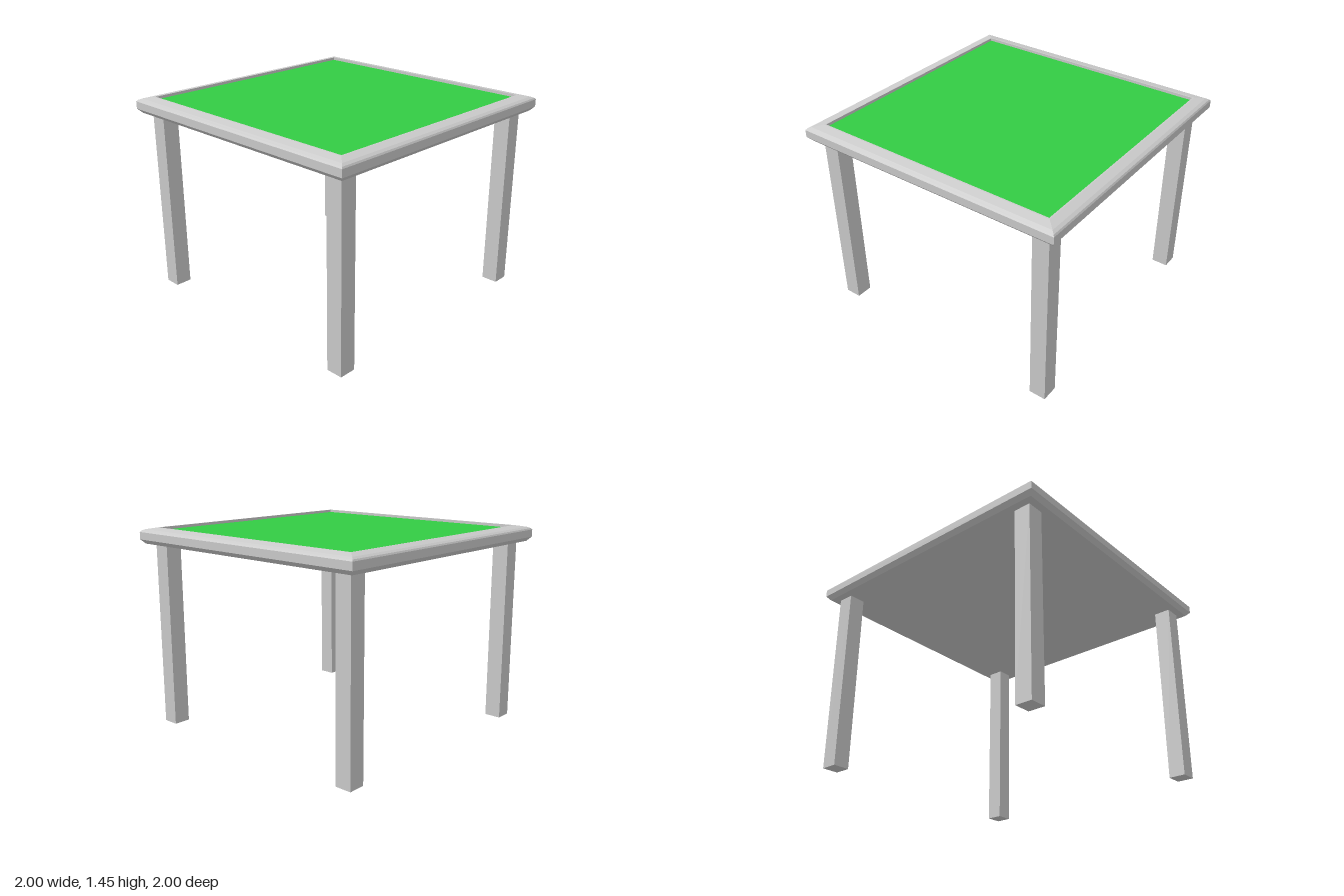
import * as THREE from 'three';

export function createModel() {
  const group = new THREE.Group();
  group.name = 'gameTable';
  const grey = new THREE.MeshStandardMaterial({ color: 0xcccccc, flatShading: true });
  const green = new THREE.MeshStandardMaterial({ color: 0x33cc44 });

  const add = (name, geometry, material, x, y, z) => {
    const mesh = new THREE.Mesh(geometry, material);
    mesh.name = name;
    mesh.position.set(x, y, z);
    group.add(mesh);
    return mesh;
  };

  // Square top: flat underside, rounded outer edge and inner lip, swept round four mitred sides
  const feltY = 1.43;
  const profile = [
    [0, 1.335], [0.972, 1.335], [0.995, 1.36], [1, 1.365], [1, 1.418],
    [0.992, 1.428], [0.97, 1.438], [0.91, 1.45], [0.9, 1.45], [0.9, feltY],
  ].map(([half, y]) => new THREE.Vector2(half * Math.SQRT2, y));
  add('tableFrame', new THREE.LatheGeometry(profile, 4, Math.PI / 4), grey, 0, 0, 0);

  // Felt playing surface, recessed inside the frame
  const felt = new THREE.PlaneGeometry(1.8, 1.8).rotateX(-Math.PI / 2);
  add('feltSurface', felt, green, 0, feltY, 0);

  // Four square legs
  const legHeight = 1.335, legWidth = 0.12, legOffset = 0.86;
  const legGeometry = new THREE.BoxGeometry(legWidth, legHeight, legWidth);
  for (const [sx, side] of [[1, 'Left'], [-1, 'Right']]) {
    for (const [sz, end] of [[1, 'front'], [-1, 'back']]) {
      add(`${end}${side}Leg`, legGeometry, grey, sx * legOffset, legHeight / 2, sz * legOffset);
    }
  }
  return group;
}
